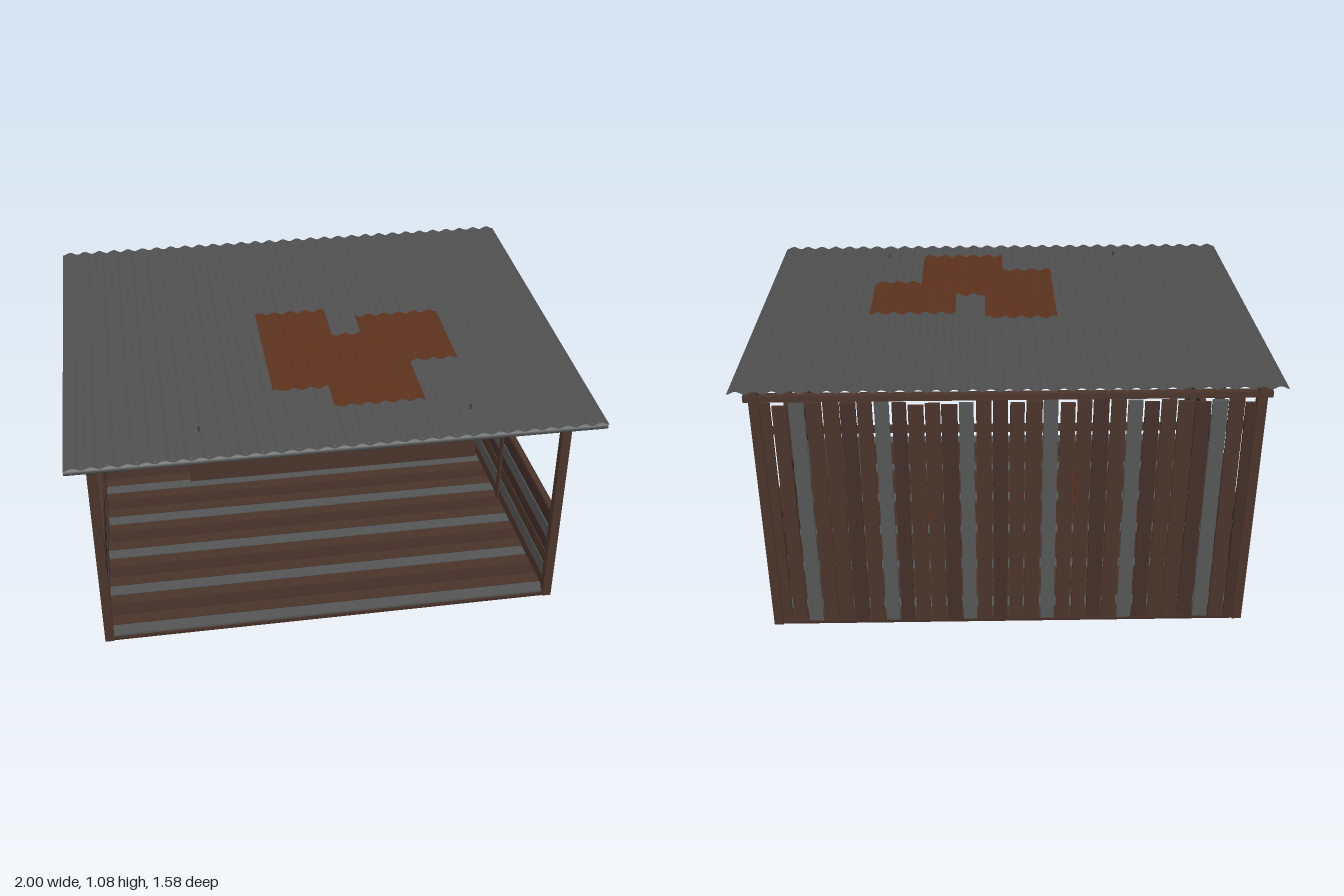
import * as THREE from 'three';

export function createModel() {
  const root = new THREE.Group();
  root.name = 'shelter';

  const mat = (name, color, side = THREE.FrontSide) => {
    const m = new THREE.MeshStandardMaterial({ color, side });
    m.name = name;
    return m;
  };
  const wood = mat('brown wood', 0x4a342b);
  const darkWood = mat('dark wood', 0x422e28);
  const grey = mat('weathered grey', 0x545555);
  const sheet = mat('roof metal', 0x505050, THREE.DoubleSide);
  const rust = mat('rust', 0x5c331d, THREE.DoubleSide);

  // Small seeded generator for the uneven boards
  let seed = 11;
  const rnd = () => (seed = (seed * 16807) % 2147483647) / 2147483647;

  const group = (name) => {
    const g = new THREE.Group();
    g.name = name;
    root.add(g);
    return g;
  };
  const box = (parent, name, m, w, h, d, x, y, z) => {
    const b = new THREE.Mesh(new THREE.BoxGeometry(w, h, d), m);
    b.name = name;
    b.position.set(x, y, z);
    parent.add(b);
    return b;
  };

  const SLOPE = 0.076;
  const roofY = (z) => 1.01 - SLOPE * z;

  // Corrugated sheet following the roof slope
  const corrugated = (name, m, x0, x1, z0, z1, lift) => {
    const w = x1 - x0;
    const geo = new THREE.PlaneGeometry(w, z1 - z0, Math.round(w * 96), 1);
    geo.rotateX(-Math.PI / 2);
    geo.translate((x0 + x1) / 2, 0, (z0 + z1) / 2);
    const p = geo.attributes.position;
    for (let i = 0; i < p.count; i++) {
      const wave = 0.006 * Math.cos((p.getX(i) * 2 * Math.PI) / 0.0645);
      p.setY(i, roofY(p.getZ(i)) + lift + wave);
    }
    geo.computeVertexNormals();
    const s = new THREE.Mesh(geo, m);
    s.name = name;
    root.add(s);
  };
  corrugated('roof', sheet, -1, 1, -0.79, 0.79, 0);
  corrugated('rustPatchLeft', rust, -0.21, 0.08, -0.13, 0.43, 0.014);
  corrugated('rustPatchRight', rust, 0.2, 0.55, -0.07, 0.29, 0.011);
  corrugated('rustPatchFront', rust, 0, 0.35, 0.09, 0.58, 0.028);

  // Gutter pipe along the low edge
  const gutter = new THREE.Mesh(new THREE.CylinderGeometry(0.015, 0.015, 2, 12), grey);
  gutter.name = 'gutter';
  gutter.rotation.z = Math.PI / 2;
  gutter.position.set(0, 0.932, 0.77);
  root.add(gutter);

  // Posts, rafters and cross beams
  const frame = group('frame');
  for (const s of [-1, 1]) {
    for (const [z, h] of [[0.605, 0.94], [-0.075, 0.99], [-0.755, 1.045]]) {
      box(frame, 'post', wood, 0.036, h, 0.032, s * 0.912, h / 2, z);
    }
    const rafter = box(frame, 'rafter', wood, 0.03, 0.02, 1.555, s * 0.912, 0.99, -0.005);
    rafter.rotation.x = Math.atan(SLOPE);
  }
  for (const [z, y] of [[0.605, 0.913], [-0.075, 0.972], [-0.755, 1.03]]) {
    box(frame, 'crossBeam', wood, 1.9, 0.024, 0.026, 0, y, z);
  }

  // Back wall of upright boards, every fifth one grey
  const wall = group('backWall');
  const pitch = 0.061;
  for (let i = 0; i < 30; i++) {
    const m = i % 5 === 2 ? grey : i % 3 ? wood : darkWood;
    const h = 0.985 + rnd() * 0.025;
    const w = pitch - 0.002 - rnd() * 0.008;
    const b = box(wall, 'wallBoard', m, w, h, 0.012, (i - 14.5) * pitch, 0.008 + h / 2, -0.76 + rnd() * 0.004);
    b.rotation.z = (rnd() - 0.5) * 0.006;
  }
  for (const y of [0.17, 0.542, 0.885]) {
    box(wall, 'wallRail', wood, 1.82, 0.025, 0.018, 0, y, -0.738);
  }
  box(wall, 'metalPatch', grey, 0.24, 0.155, 0.008, 0.67, 0.75, -0.722);

  // Rust streaks on the inside of the back wall
  const streaks = [[-0.735, 0.02, 0.48, 0.79], [-0.63, 0.02, 0.45, 0.68], [-0.25, 0.03, 0.56, 0.78],
    [0.31, 0.04, 0.48, 0.63], [0.41, 0.02, 0.65, 0.8]];
  for (const [x, w, y0, y1] of streaks) {
    box(wall, 'rustStreak', rust, w, y1 - y0, 0.004, x, (y0 + y1) / 2, -0.747);
  }

  // Low side walls of level boards with a hand rail
  for (const s of [-1, 1]) {
    const side = group(s > 0 ? 'leftWall' : 'rightWall');
    for (let i = 0; i < 6; i++) {
      const m = i % 3 === 1 ? grey : i % 2 ? darkWood : wood;
      const b = box(side, 'sideBoard', m, 0.012, 0.057, 1.36, s * 0.908, 0.041 + i * 0.0643, -0.075);
      b.rotation.x = (rnd() - 0.5) * 0.006;
    }
    box(side, 'handRail', wood, 0.026, 0.016, 1.36, s * 0.908, 0.413, -0.075);
  }

  // Floor boards on joists
  const floor = group('floor');
  const count = 22;
  const step = 1.37 / count;
  for (let i = 0; i < count; i++) {
    const m = i % 4 === 0 ? grey : i % 2 ? wood : darkWood;
    box(floor, 'floorBoard', m, 1.82, 0.01, step - 0.003 - rnd() * 0.004, 0, 0.016, 0.61 - (i + 0.5) * step);
  }
  for (const x of [-0.905, -0.3, 0.3, 0.905]) {
    box(floor, 'joist', darkWood, 0.025, 0.012, 1.38, x, 0.006, -0.075);
  }
  for (const z of [0.605, -0.075, -0.755]) {
    box(floor, 'crossJoist', darkWood, 1.82, 0.011, 0.025, 0, 0.0055, z);
  }

  // Blank board hung from the front of the roof
  const sign = group('hangingBoard');
  box(sign, 'board', wood, 1.09, 0.155, 0.014, -0.005, 0.832, 0.633);
  for (const x of [-0.51, 0.51]) {
    const rod = new THREE.Mesh(new THREE.CylinderGeometry(0.003, 0.003, 0.09, 8), darkWood);
    rod.name = 'hanger';
    rod.position.set(x, 0.94, 0.633);
    sign.add(rod);
  }
  return root;
}
